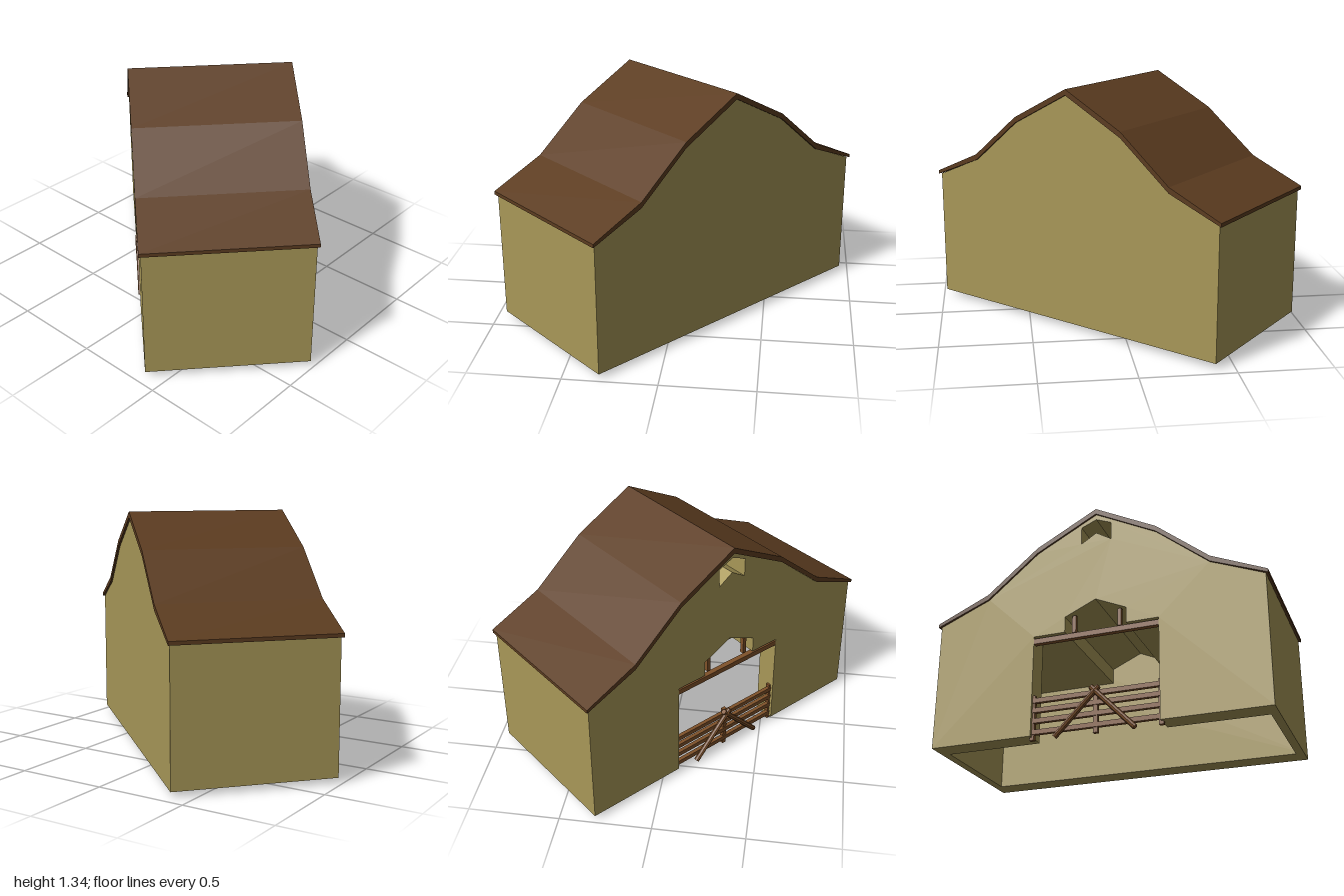
import * as THREE from 'three';

const W = 0.933, D = 0.435, BASE = 0.03, T = 0.12, SIDE = 0.045, LOFT = 0.6;
const wallMat = new THREE.MeshStandardMaterial({ color: 0xa89858, flatShading: true });
const roofMat = new THREE.MeshStandardMaterial({ color: 0x5c3c20, flatShading: true });
const woodMat = new THREE.MeshStandardMaterial({ color: 0x80522a, flatShading: true });

// half profiles of the gambrel, ridge to eave
const roofLine = [[0, 1.335], [0.35, 1.15], [0.645, 0.905], [0.947, 0.77]];
const wallLine = [[0, 1.305], [0.345, 1.122], [0.64, 0.876], [W, 0.752]];
// half outline of the peaked hatch above the door
const hatch = [[0.175, LOFT], [0.175, 0.69], [0, 0.77]];

const mirror = (pts) => pts.slice().reverse().map(([x, y]) => [-x, y]);
const toShape = (pts) => new THREE.Shape(pts.map(([x, y]) => new THREE.Vector2(x, y)));

function add(parent, name, geo, mat, x = 0, y = 0, z = 0) {
  const m = new THREE.Mesh(geo, mat);
  m.name = name;
  m.position.set(x, y, z);
  parent.add(m);
  return m;
}
const box = (p, name, mat, w, h, d, x, y, z) => add(p, name, new THREE.BoxGeometry(w, h, d), mat, x, y, z);
const extrude = (p, name, mat, shape, z0, z1) =>
  add(p, name, new THREE.ExtrudeGeometry(shape, { depth: z1 - z0, bevelEnabled: false }), mat, 0, 0, z0);

// round log between two points
function log(p, name, a, b, r) {
  const from = new THREE.Vector3(...a), to = new THREE.Vector3(...b);
  const dir = to.clone().sub(from);
  const m = add(p, name, new THREE.CylinderGeometry(r, r, dir.length(), 8), woodMat);
  m.position.copy(from).add(to).multiplyScalar(0.5);
  m.quaternion.setFromUnitVectors(new THREE.Vector3(0, 1, 0), dir.normalize());
}

// chevron vent below the ridge
function ventHole() {
  const half = [[0.088, 1.13], [0.088, 1.235], [0, 1.272]];
  return toShape([...half, ...mirror(half).slice(1), [0, 1.185]]);
}

// gable outline from a floor height, with an optional notch cut from below
function gable(scale, floor, notch) {
  const half = wallLine.map(([x, y]) => [x * scale, y]);
  const top = [...mirror(half), ...half.slice(1)];
  const cut = notch ? [...notch, ...mirror(notch).slice(1)] : [];
  return toShape([[-W * scale, floor], ...top, [W * scale, floor], ...cut]);
}

function buildWalls(barn) {
  const walls = new THREE.Group();
  walls.name = 'walls';
  barn.add(walls);

  // front gable: door, hatch and vent openings
  const front = gable(1, BASE, [[0.355, BASE], [0.355, LOFT], ...hatch]);
  front.holes.push(ventHole());
  extrude(walls, 'frontWall', wallMat, front, D - T, D);
  extrude(walls, 'backWall', wallMat, gable(1, BASE), -D, -D + T);

  // side walls
  for (const s of [-1, 1]) {
    box(walls, s > 0 ? 'leftWall' : 'rightWall', wallMat, SIDE, 0.752 - BASE, 2 * (D - T),
      s * (W - SIDE / 2), (0.752 + BASE) / 2, 0);
  }

  // loft with the hatch and vent recesses running through it
  const loft = gable((W - SIDE) / W, LOFT, hatch);
  loft.holes.push(ventHole());
  extrude(walls, 'loft', wallMat, loft, -D + T, D - T);
}

function buildRoof(barn) {
  const roof = new THREE.Group();
  roof.name = 'roof';
  barn.add(roof);
  const drop = [0.032, 0.032, 0.032, 0.02];
  for (const s of [-1, 1]) {
    for (let i = 0; i < 3; i++) {
      const [ax, ay] = roofLine[i], [bx, by] = roofLine[i + 1];
      const slab = [[s * ax, ay], [s * bx, by], [s * bx, by - drop[i + 1]], [s * ax, ay - drop[i]]];
      extrude(roof, 'roofSlab', roofMat, toShape(slab), -0.446, 0.446);
    }
  }
}

function buildDoorway(barn) {
  // beam over the door and the hatch posts
  box(barn, 'doorBeam', woodMat, 0.71, 0.03, 0.03, 0, 0.573, 0.418);
  for (const s of [-1, 1]) box(barn, 'hatchPost', woodMat, 0.022, 0.1, 0.022, s * 0.13, 0.65, 0.405);

  // gate with posts, rails and crossed braces
  const gate = new THREE.Group();
  gate.name = 'gate';
  barn.add(gate);
  for (const x of [-0.355, 0, 0.355]) box(gate, 'gatePost', woodMat, 0.025, 0.25, 0.022, x, 0.138, 0.405);
  for (const y of [0.055, 0.118, 0.177, 0.232]) box(gate, 'gateRail', woodMat, 0.71, 0.026, 0.022, 0, y, 0.41);
  for (const s of [-1, 1]) {
    log(gate, 'gateBrace', [s * 0.22, 0.01, 0.428], [-s * 0.022, 0.262, 0.428], 0.015);
  }
}

export function createModel() {
  const model = new THREE.Group();
  model.name = 'barn';
  const barn = new THREE.Group();
  barn.name = 'barnBody';
  barn.rotation.y = -0.738; // the barn stands turned on its plot
  model.add(barn);
  buildWalls(barn);
  buildRoof(barn);
  buildDoorway(barn);
  return model;
}
